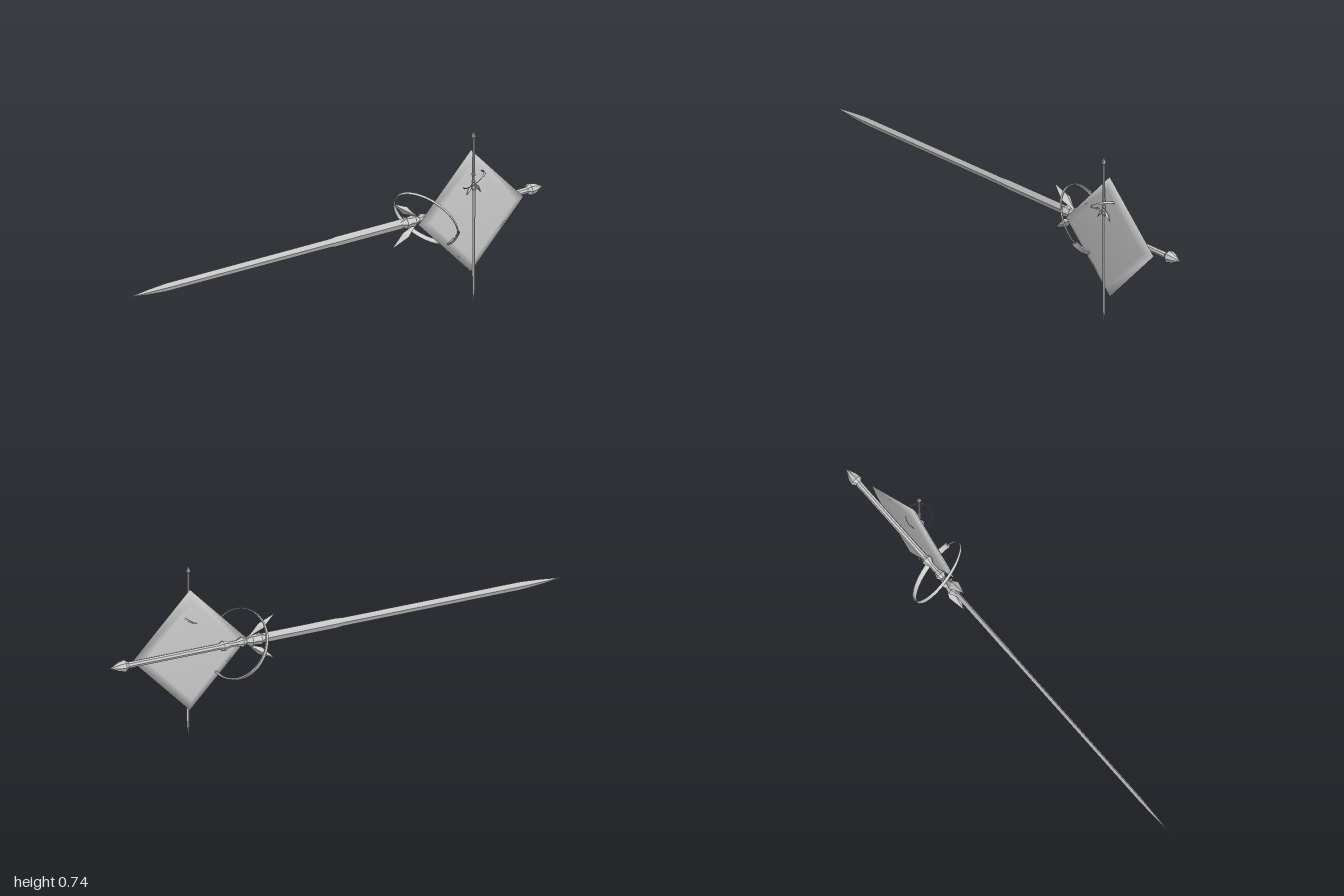
import * as THREE from 'three';
import { ParametricGeometry } from 'three/addons/geometries/ParametricGeometry.js';

const V = (x, y, z) => new THREE.Vector3(x, y, z);
const flat = new THREE.MeshStandardMaterial({ color: 0xcccccc, flatShading: true });
const smooth = new THREE.MeshStandardMaterial({ color: 0xcccccc });
const ribbon = new THREE.MeshStandardMaterial({ color: 0xcccccc, flatShading: true, side: THREE.DoubleSide });

// Faceted part turned around its own y axis; profile is [radius, height], rising
function turned(name, profile, sides, material = flat) {
  const geometry = new THREE.LatheGeometry(profile.map(([r, h]) => new THREE.Vector2(r, h)), sides);
  const mesh = new THREE.Mesh(geometry, material);
  mesh.name = name;
  return mesh;
}

// Flat ribbon wound once around a tilted circle, tapering from start to end
function ringGeometry(radius) {
  const n = V(0.81, 0.49, -0.33).normalize();
  const e1 = V(0.078, -0.047, 0.122).projectOnPlane(n).normalize();
  const e2 = n.clone().cross(e1);
  const corners = [[-1, -1], [1, -1], [1, 1], [-1, 1], [-1, -1]];
  return new ParametricGeometry((u, v, target) => {
    const a = u * Math.PI * 2;
    const [c, d] = corners[Math.round(v * 4)];
    const r = radius + c * (0.0035 - 0.002 * u);
    const w = d * (0.012 - 0.0095 * u);
    target.set(0, 0, 0)
      .addScaledVector(e1, r * Math.cos(a))
      .addScaledVector(e2, r * Math.sin(a))
      .addScaledVector(n, w);
  }, 64, 4);
}

// Sword lying along x, point towards -x
function createSword(name) {
  const sword = new THREE.Group();
  sword.name = name;

  // Diamond-section blade
  const blade = turned('blade', [[0, -1], [0.011, -0.91], [0.018, -0.82], [0.019, -0.03], [0.022, 0], [0.022, 0.34], [0.012, 0.38]], 4);
  blade.rotation.z = -Math.PI / 2;
  blade.scale.z = 0.45;
  sword.add(blade);

  // Grip with knob and collar
  const grip = turned('grip', [
    [0, 0.36], [0.012, 0.37], [0.01, 0.395], [0.022, 0.415], [0.012, 0.44], [0.012, 0.475],
    [0.02, 0.49], [0.022, 0.5], [0.013, 0.515], [0.013, 0.89], [0, 0.89],
  ], 8);
  grip.rotation.z = -Math.PI / 2;
  sword.add(grip);

  // Pointed pommel
  const pommel = turned('pommel', [[0, 0.87], [0.013, 0.88], [0.014, 0.92], [0.026, 0.935], [0.02, 0.96], [0, 1]], 8);
  pommel.rotation.z = -Math.PI / 2;
  sword.add(pommel);

  // Faceted hub where the guard meets the blade
  const hub = turned('guardHub', [[0, 0.29], [0.025, 0.335], [0.02, 0.36], [0.026, 0.375], [0, 0.42]], 6);
  hub.rotation.z = -Math.PI / 2;
  sword.add(hub);

  // Swept guard spikes, above and below
  for (const side of [1, -1]) {
    const root = V(0.4, 0.008 * side, 0);
    const axis = V(0.27, 0.098 * side, 0).sub(root);
    const length = axis.length();
    const spike = turned('guardSpike', [[0, 0], [0.01, length * 0.25], [0.024, length * 0.5], [0, length]], 4);
    spike.position.copy(root);
    spike.quaternion.setFromUnitVectors(V(0, 1, 0), axis.normalize());
    spike.scale.x = 0.7;
    sword.add(spike);
  }

  // Tilted hand ring
  const ring = new THREE.Mesh(ringGeometry(0.143), ribbon);
  ring.name = 'handRing';
  ring.position.set(0.435, -0.003, 0);
  sword.add(ring);
  return sword;
}

export function createModel() {
  const model = new THREE.Group();
  model.name = 'swordAndShield';

  const sword = createSword('sword');
  sword.position.y = 0.4;
  model.add(sword);

  // Diamond shield with bevelled rim
  const shield = turned('shield', [[0, -0.015], [0.205, -0.015], [0.255, 0], [0.205, 0.015], [0, 0.015]], 4, smooth);
  shield.rotation.x = Math.PI / 2;
  shield.scale.z = 1.025;
  shield.position.set(0.628, 0.394, 0.035);
  model.add(shield);

  // Small upright sword mounted on the shield, point down
  const small = createSword('smallSword');
  small.scale.setScalar(0.3675);
  small.rotation.z = Math.PI / 2;
  small.position.set(0.622, 0.378, 0.062);
  model.add(small);

  return model;
}
